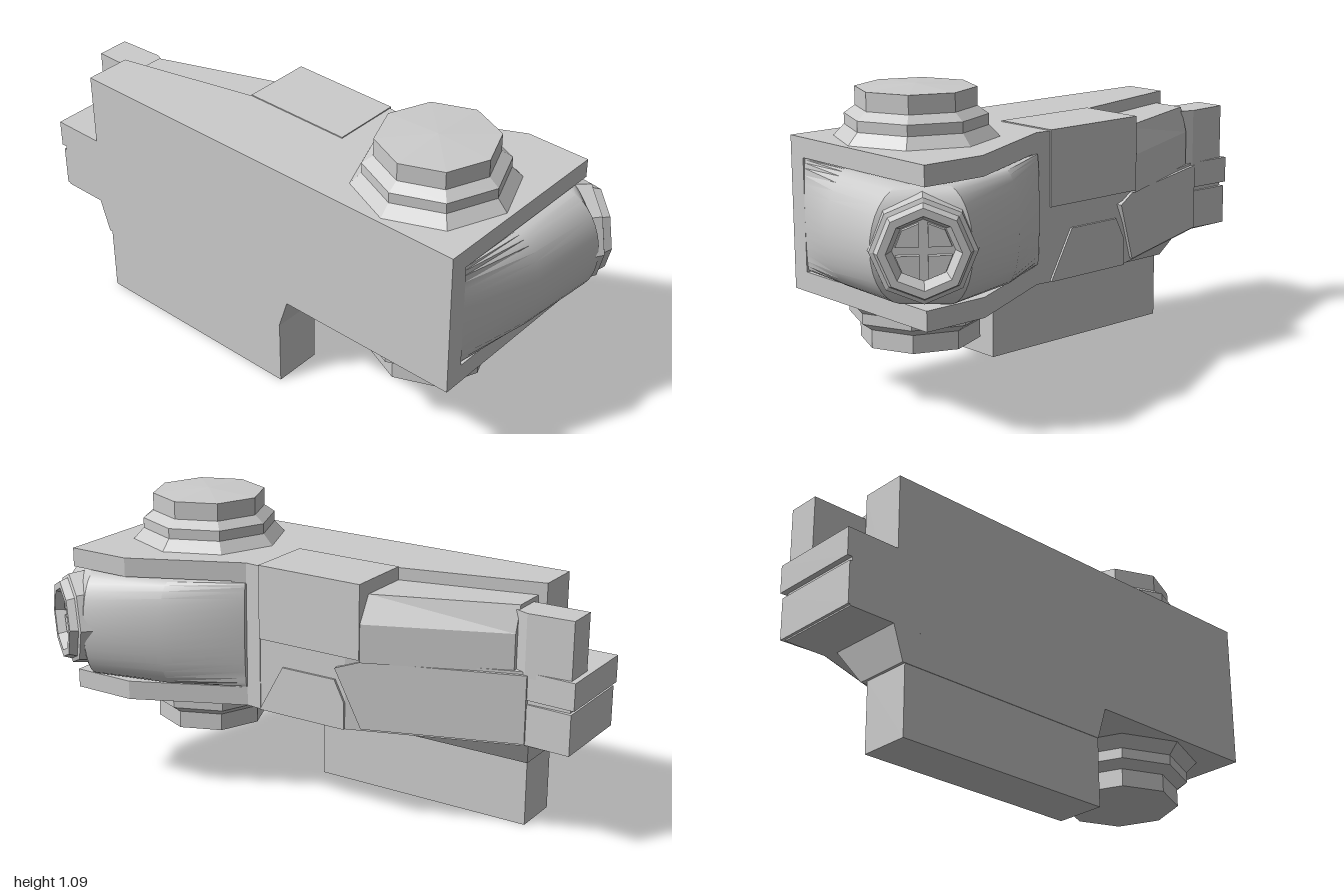
import * as THREE from 'three';
import { toCreasedNormals } from 'three/addons/utils/BufferGeometryUtils.js';

const flat = new THREE.MeshStandardMaterial({ color: 0xcccccc, flatShading: true });
const smooth = new THREE.MeshStandardMaterial({ color: 0xcccccc });

function add(parent, name, geometry, material = flat) {
  const mesh = new THREE.Mesh(geometry, material);
  mesh.name = name;
  parent.add(mesh);
  return mesh;
}

// Prism from a plan outline of [x, z] points between two heights
function prism(outline, y0, y1) {
  const shape = new THREE.Shape(outline.map(([x, z]) => new THREE.Vector2(x, -z)));
  return new THREE.ExtrudeGeometry(shape, { depth: y1 - y0, bevelEnabled: false })
    .rotateX(-Math.PI / 2).translate(0, y0, 0);
}

// Closed solid through rings of equal point count, each counterclockwise around the loft axis
function loft(rings) {
  const n = rings[0].length, last = (rings.length - 1) * n, index = [];
  for (let i = 0; i < rings.length - 1; i++) {
    for (let j = 0; j < n; j++) {
      const a = i * n + j, b = i * n + (j + 1) % n;
      index.push(a, b, b + n, a, b + n, a + n);
    }
  }
  for (let j = 1; j < n - 1; j++) index.push(0, j + 1, j, last, last + j, last + j + 1);
  const geometry = new THREE.BufferGeometry();
  geometry.setAttribute('position', new THREE.Float32BufferAttribute(rings.flat(2), 3));
  geometry.setIndex(index);
  geometry.computeVertexNormals();
  return geometry;
}

// Thin plate drawn as [z, y] points, laid on a side surface given by x = side(z)
function sidePanel(points, side, thickness) {
  const shape = new THREE.Shape(points.map(([z, y]) => new THREE.Vector2(-z, y)));
  const geometry = new THREE.ExtrudeGeometry(shape, { depth: thickness, bevelEnabled: false })
    .rotateY(Math.PI / 2);
  const p = geometry.attributes.position;
  for (let i = 0; i < p.count; i++) p.setX(i, p.getX(i) + side(p.getZ(i)));
  return geometry;
}

export function createModel() {
  const model = new THREE.Group();
  model.name = 'deviceHousing';
  const midY = 0.64;

  // Side wall and spine running the whole length
  add(model, 'spine', prism([[-0.43, 0.84], [-0.36, 0.84], [-0.36, 0.25], [0.13, 0.25], [0.11, 0.2],
    [0.115, 0.14], [-0.14, 0.14], [-0.14, -0.28], [-0.26, -0.8], [-0.43, -0.8]], 0.37, 0.91));

  // Slabs above and below the front housing
  const slab = [[-0.43, 0.84], [0.3, 0.84], [0.3, 0.6], [0.11, 0.2], [-0.43, 0.2]];
  add(model, 'topSlab', prism(slab, 0.84, 0.91));
  add(model, 'bottomSlab', prism(slab, 0.37, 0.44));

  // Rounded front housing: plan outline swells from the edges to mid height
  const edge = [[-0.36, 0.83], [-0.1, 0.84], [0.2, 0.84], [0.295, 0.75], [0.232, 0.45], [0.115, 0.2], [-0.36, 0.2]];
  const full = [[-0.36, 0.84], [-0.09, 0.94], [0.195, 0.98], [0.395, 0.725], [0.305, 0.45], [0.125, 0.2], [-0.36, 0.2]];
  const rings = [];
  for (let i = 0; i <= 16; i++) {
    const angle = (i / 16 - 0.5) * Math.PI, swell = Math.cos(angle);
    rings.push(edge.map(([x, z], j) => [
      x + (full[j][0] - x) * swell, midY + 0.196 * Math.sin(angle), z + (full[j][1] - z) * swell]));
  }
  add(model, 'frontHousing', toCreasedNormals(loft(rings), 0.45), smooth);

  // Octagonal caps, mirrored above and below
  const capProfile = [[0.29, 0.265], [0.247, 0.31], [0.247, 0.348], [0.209, 0.375], [0.209, 0.44], [0, 0.45]]
    .map(([r, y]) => new THREE.Vector2(r, y));
  for (const [name, turn] of [['topCap', 0], ['bottomCap', Math.PI]]) {
    const cap = add(model, name, new THREE.LatheGeometry(capProfile, 8));
    cap.position.set(-0.125, midY, 0.535);
    cap.rotation.x = turn;
  }

  // Octagonal eyepiece on the front corner
  const eyepiece = new THREE.Group();
  eyepiece.name = 'eyepiece';
  eyepiece.position.set(0.34, midY, 0.878);
  eyepiece.rotation.y = Math.atan2(0.8, 0.6);
  model.add(eyepiece);
  const rim = [[0.18, -0.1], [0.172, -0.035], [0.157, -0.03], [0.146, 0], [0.12, 0], [0.1, -0.05], [0, -0.05]]
    .map(([r, y]) => new THREE.Vector2(r, y));
  add(eyepiece, 'eyepieceRim', new THREE.LatheGeometry(rim, 8).rotateX(Math.PI / 2));
  const pane = new THREE.Shape([[0.014, 0.014], [0.09, 0.014], [0.068, 0.068], [0.014, 0.09]]
    .map(([x, y]) => new THREE.Vector2(x, y)));
  for (let i = 0; i < 4; i++) {
    const quarter = add(eyepiece, 'eyepiecePane',
      new THREE.ExtrudeGeometry(pane, { depth: 0.02, bevelEnabled: false }));
    quarter.position.z = -0.05;
    quarter.rotation.z = i * Math.PI / 2;
  }

  // Upper side block and the bevelled wedge behind it
  add(model, 'upperBlock', prism([[-0.14, 0.14], [0.12, 0.14], [0.12, -0.28], [-0.14, -0.28]], midY, 0.914));
  add(model, 'upperWedge', loft([
    [[-0.27, 0.63, -0.77], [-0.09, 0.63, -0.77], [-0.09, 0.77, -0.77], [-0.12, 0.865, -0.77], [-0.27, 0.865, -0.77]],
    [[-0.15, 0.63, -0.28], [0.115, 0.63, -0.28], [0.115, 0.77, -0.28], [0.06, 0.865, -0.28], [-0.15, 0.865, -0.28]],
  ]));

  // Lower body, tapering to the rear, with raised panels
  add(model, 'lowerBody', prism([[-0.43, 0.14], [0.112, 0.14], [0.112, -0.22], [-0.1, -0.82], [-0.43, -0.82]], 0.37, midY));
  add(model, 'lowerFrontPanel', sidePanel(
    [[0.14, 0.37], [0.04, 0.55], [-0.18, 0.55], [-0.22, 0.47], [-0.22, 0.37]], () => 0.105, 0.015));
  add(model, 'lowerRearPanel', sidePanel(
    [[-0.19, 0.6], [-0.28, 0.63], [-0.82, 0.63], [-0.82, 0.38], [-0.28, 0.38]],
    z => 0.1 + (z + 0.22) * 0.353, 0.025));

  // Rear strips and upright block
  for (const [y0, y1, back] of [[0.375, 0.525, -0.99], [0.54, 0.64, -1]]) {
    add(model, 'rearStrip', prism([[-0.43, -0.8], [-0.095, -0.8], [-0.085, back], [-0.43, back]], y0, y1));
  }
  add(model, 'rearCore', prism([[-0.43, -0.8], [-0.1, -0.8], [-0.1, -0.98], [-0.43, -0.98]], 0.37, 0.63));
  add(model, 'rearUpright', prism([[-0.22, -0.76], [-0.11, -0.76], [-0.09, -0.81], [-0.1, -0.98], [-0.22, -0.98]], 0.62, 0.85));

  // Tapered underside and the grip plate below it
  const rect = (y, x, front, back) => [[-0.43, y, front], [x, y, front], [x, y, back], [-0.43, y, back]];
  add(model, 'underside', loft([rect(0.25, -0.225, 0.1, -0.77), rect(0.372, -0.145, 0.14, -0.81)]));
  add(model, 'gripPlate', prism([[-0.428, 0.1], [-0.245, 0.1], [-0.245, -0.76], [-0.428, -0.76]], 0, 0.25));

  return model;
}
